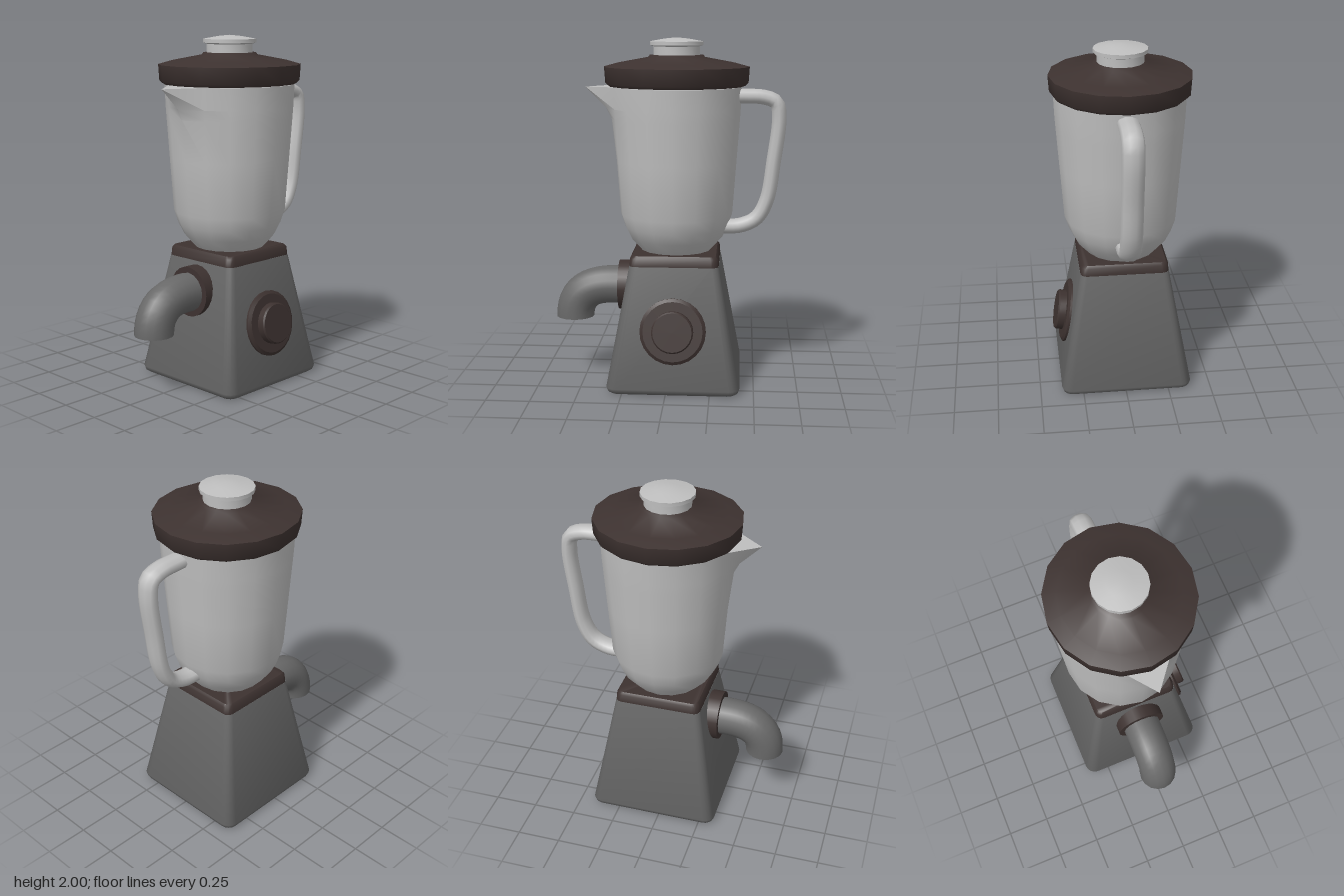
import * as THREE from 'three';
import { mergeVertices, toCreasedNormals } from 'three/addons/utils/BufferGeometryUtils.js';

const V = (x, y, z) => new THREE.Vector3(x, y, z);
const mat = (name, color) => {
  const m = new THREE.MeshStandardMaterial({ color });
  m.name = name;
  return m;
};

// Rounded-square loft through [y, halfWidth, cornerRadius] rings, capped at both ends
function squareLoft(rings, steps = 4) {
  const pos = [], idx = [], n = 4 * (steps + 1);
  for (const [y, h, r] of rings) {
    for (let c = 0; c < 4; c++) {
      const mid = (c + 0.5) * Math.PI / 2;
      const cx = Math.sign(Math.cos(mid)) * (h - r), cz = Math.sign(Math.sin(mid)) * (h - r);
      for (let s = 0; s <= steps; s++) {
        const a = (c + s / steps) * Math.PI / 2;
        pos.push(cx + r * Math.cos(a), y, cz + r * Math.sin(a));
      }
    }
  }
  for (let k = 0; k < rings.length - 1; k++) {
    for (let i = 0; i < n; i++) {
      const a = k * n + i, b = k * n + (i + 1) % n;
      idx.push(a, a + n, b, b, a + n, b + n);
    }
  }
  const top = (rings.length - 1) * n;
  for (let i = 1; i < n - 1; i++) idx.push(0, i, i + 1, top, top + i + 1, top + i);
  const g = new THREE.BufferGeometry();
  g.setAttribute('position', new THREE.Float32BufferAttribute(pos, 3));
  g.setIndex(idx);
  return toCreasedNormals(g, 0.8);
}

// Lathe with its seam welded, optionally reshaped, with sharp edges past the crease angle
function turned(profile, sides, crease, reshape) {
  let g = new THREE.LatheGeometry(profile.map(([r, y]) => new THREE.Vector2(r, y)), sides);
  g.deleteAttribute('uv');
  g.deleteAttribute('normal');
  g = mergeVertices(g, 1e-4);
  if (reshape) reshape(g.attributes.position);
  return toCreasedNormals(g, crease);
}

export function createModel() {
  const root = new THREE.Group();
  root.name = 'blender';
  const body = new THREE.Group();
  body.name = 'body';
  body.position.set(-0.005, 0, -0.04);
  root.add(body);

  const grey = mat('baseGrey', 0x686868);
  const dark = mat('darkBrown', 0x3d3230);
  const pale = mat('paleGrey', 0xbebebe);

  const add = (name, geometry, material, parent = body) => {
    const m = new THREE.Mesh(geometry, material);
    m.name = name;
    parent.add(m);
    return m;
  };

  // Tapered motor base and its collar
  add('base', squareLoft([[0, 0.355, 0.045], [0.012, 0.372, 0.055], [0.035, 0.38, 0.06], [0.72, 0.255, 0.04]]), grey);
  add('baseCollar', squareLoft([[0.72, 0.254, 0.04], [0.765, 0.25, 0.04], [0.78, 0.238, 0.035]]), dark);

  // Jug with one front rim point drawn out into a pouring lip
  const jugProfile = [[0, 0.775], [0.2, 0.775], [0.268, 0.85], [0.3, 0.915], [0.325, 0.99],
    [0.347, 1.3], [0.364, 1.54], [0.368, 1.6], [0.373, 1.725], [0, 1.725]];
  add('jug', turned(jugProfile, 16, 0.7, (p) => {
    for (let i = 0; i < p.count; i++) {
      if (Math.abs(p.getX(i)) > 0.01 || p.getZ(i) < 0.3) continue;
      const y = p.getY(i);
      if (y > 1.7) p.setXYZ(i, 0, 1.72, 0.525);
      else if (y > 1.58) p.setZ(i, 0.405);
      else if (y > 1.5) p.setZ(i, 0.375);
    }
  }), pale);

  // Handle: a tube widened sideways, sunk into the jug at both ends
  const grip = new THREE.CatmullRomCurve3([
    V(0, 1.67, -0.29), V(0, 1.67, -0.4), V(0, 1.665, -0.5), V(0, 1.635, -0.57), V(0, 1.55, -0.587),
    V(0, 1.3, -0.56), V(0, 1.07, -0.523), V(0, 0.965, -0.465), V(0, 0.92, -0.37), V(0, 0.915, -0.24),
  ]);
  add('handle', new THREE.TubeGeometry(grip, 40, 0.043, 10), pale).scale.x = 1.42;

  // Lid and the cap in its middle
  const lid = add('lid', turned([[0, 1.728], [0.385, 1.728], [0.402, 1.745], [0.408, 1.836],
    [0.33, 1.858], [0.16, 1.89], [0.15, 1.902], [0, 1.902]], 16, 1.0), dark);
  lid.scale.set(0.98, 1, 1.02);
  add('lidCap', turned([[0, 1.89], [0.132, 1.89], [0.132, 1.95], [0.152, 1.957],
    [0.152, 1.978], [0.07, 1.993], [0, 2]], 16, 0.9), pale);

  // Outlet: flange and bent pipe at the front
  const flange = add('outletFlange', new THREE.CylinderGeometry(0.145, 0.145, 0.14, 24), dark);
  flange.rotation.x = Math.PI / 2;
  flange.position.set(0, 0.555, 0.265);
  const bend = new THREE.CurvePath();
  bend.add(new THREE.LineCurve3(V(0, 0.555, 0.25), V(0, 0.555, 0.37)));
  bend.add(new THREE.QuadraticBezierCurve3(V(0, 0.555, 0.37), V(0, 0.555, 0.602), V(0, 0.36, 0.602)));
  add('outletPipe', new THREE.TubeGeometry(bend, 16, 0.112, 16), grey);
  const end = add('outletEnd', new THREE.CircleGeometry(0.112, 16), grey);
  end.rotation.x = Math.PI / 2;
  end.position.set(0, 0.36, 0.602);

  // Control knob, tilted to lie flat on the sloping side
  const knob = new THREE.Group();
  knob.name = 'controlKnob';
  knob.position.set(0.32, 0.365, 0);
  knob.rotation.z = -Math.PI / 2 + 0.18;
  body.add(knob);
  add('knobPlate', turned([[0, -0.01], [0.188, -0.01], [0.188, 0.012], [0.17, 0.024], [0, 0.024]], 24, 0.5), dark, knob);
  add('knobDial', turned([[0, 0], [0.118, 0], [0.118, 0.062], [0.11, 0.07], [0, 0.07]], 24, 0.5), dark, knob);

  return root;
}
